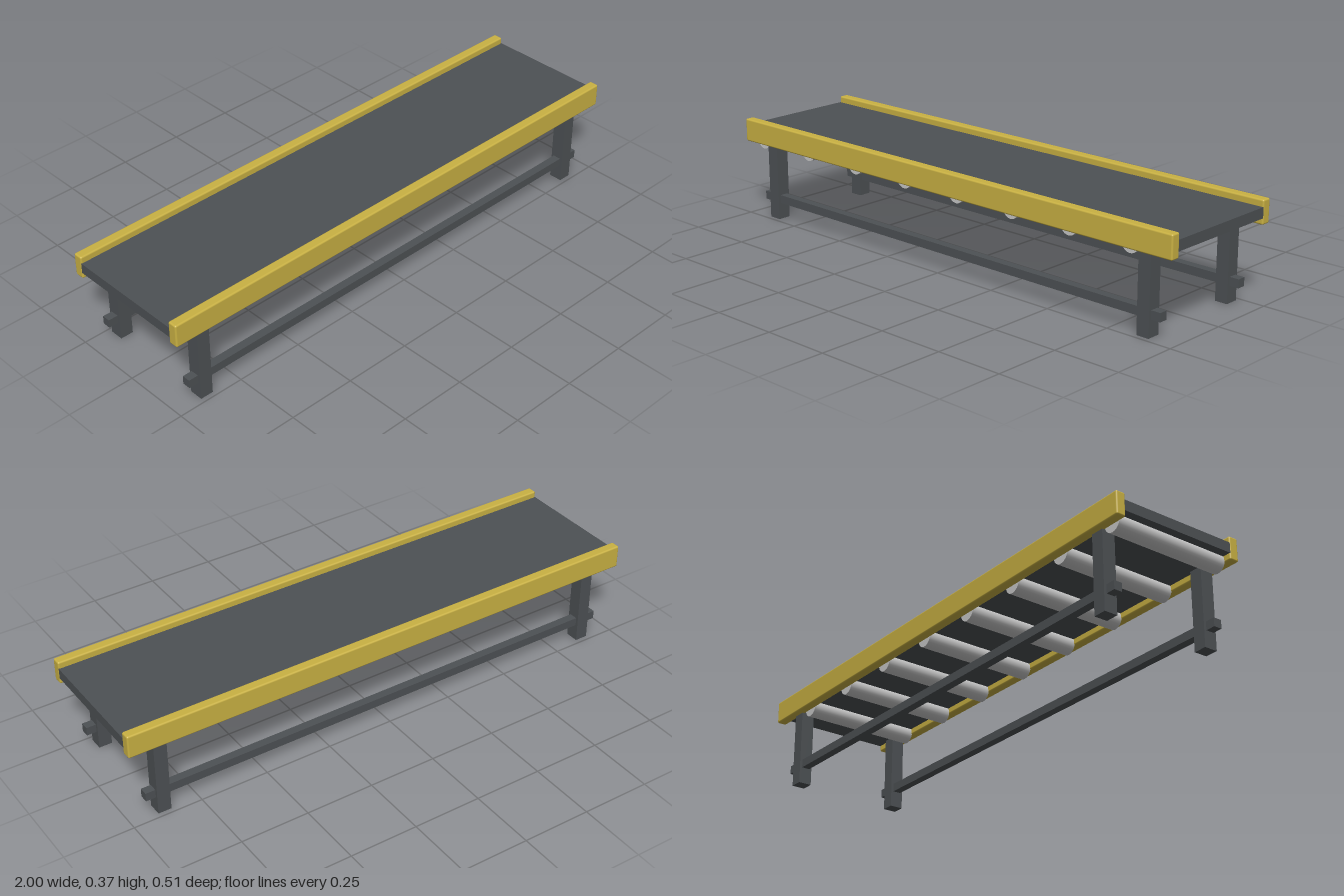
import * as THREE from 'three';
import { RoundedBoxGeometry } from 'three/addons/geometries/RoundedBoxGeometry.js';

export function createModel() {
  const model = new THREE.Group();
  model.name = 'conveyor';

  const material = (name, color) => {
    const m = new THREE.MeshStandardMaterial({ color });
    m.name = name;
    return m;
  };
  const yellow = material('yellow paint', 0xc9b143);
  const dark = material('dark grey', 0x4d5154);
  const steel = material('light steel', 0xc8c8c8);

  const add = (name, geometry, mat, x, y, z) => {
    const mesh = new THREE.Mesh(geometry, mat);
    mesh.name = name;
    mesh.position.set(x, y, z);
    model.add(mesh);
    return mesh;
  };

  // Flat belt between the side rails
  add('belt', new THREE.BoxGeometry(1.998, 0.038, 0.444), dark, 0, 0.326, 0);

  // Rollers under the belt, evenly spaced
  const rollerGeometry = new THREE.CylinderGeometry(0.034, 0.034, 0.444, 24);
  rollerGeometry.rotateX(Math.PI / 2);
  for (let i = 0; i < 8; i++) {
    add('roller', rollerGeometry, steel, -0.938 + i * 0.25, 0.292, 0);
  }

  // Rails, legs and lower braces, mirrored front to back
  const railGeometry = new RoundedBoxGeometry(2, 0.085, 0.036, 3, 0.006);
  const legGeometry = new THREE.BoxGeometry(0.048, 0.288, 0.05);
  const braceGeometry = new THREE.BoxGeometry(1.876, 0.031, 0.031);
  for (const side of [1, -1]) {
    add('sideRail', railGeometry, yellow, 0, 0.3265, side * 0.238);
    add('brace', braceGeometry, dark, 0, 0.077, side * 0.207);
    for (const end of [1, -1]) {
      add('leg', legGeometry, dark, end * 0.878, 0.144, side * 0.207);
    }
  }
  return model;
}
